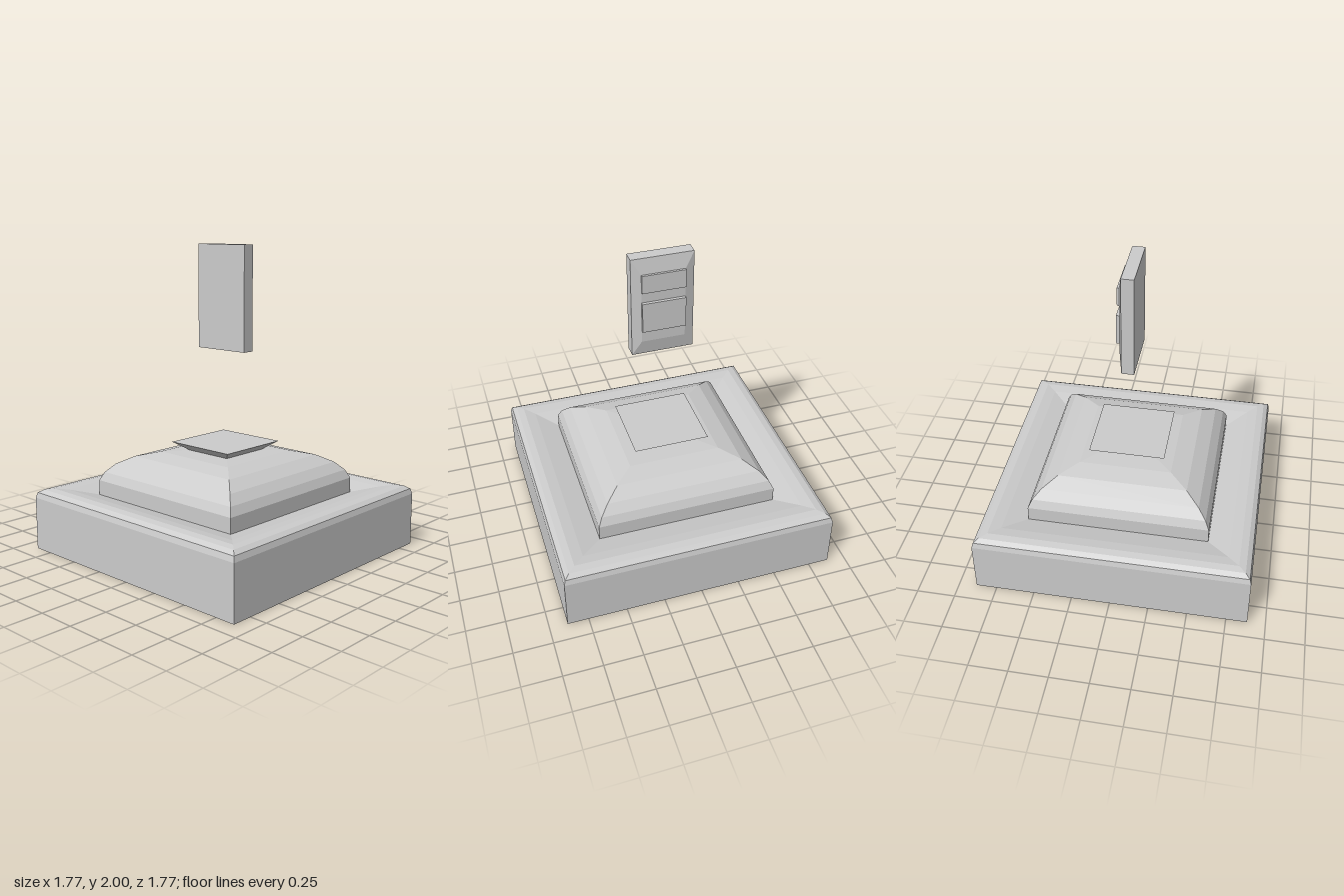
import * as THREE from 'three';

const material = new THREE.MeshStandardMaterial({ color: 0xcccccc, flatShading: true });

// Square solid: each profile point is [half width, height], listed bottom to top
function squareLoft(profile) {
  const points = profile.map(([w, y]) => new THREE.Vector2(w * Math.SQRT2, y));
  return new THREE.LatheGeometry(points, 4, Math.PI / 4);
}

function addMesh(group, name, geometry) {
  const mesh = new THREE.Mesh(geometry, material);
  mesh.name = name;
  group.add(mesh);
  return mesh;
}

export function createModel() {
  const model = new THREE.Group();
  model.name = 'pedestalWithFloatingPanel';

  // Square base: hollowed underside, rounded rim, top sloping down to the dome
  addMesh(model, 'base', squareLoft([
    [0, 0.05], [0.6, 0.05], [0.885, 0], [0.885, 0.35], [0.875, 0.385],
    [0.845, 0.405], [0.8, 0.412], [0.73, 0.402], [0.57, 0.362], [0, 0.362],
  ]));

  // Domed square step
  addMesh(model, 'dome', squareLoft([
    [0.588, 0.355], [0.588, 0.465], [0.562, 0.52], [0.51, 0.575],
    [0.42, 0.626], [0.3, 0.656], [0.17, 0.664], [0, 0.664],
  ]));

  // Flared plate on top of the dome
  addMesh(model, 'topPlate', squareLoft([
    [0.155, 0.655], [0.247, 0.72], [0, 0.72],
  ]));

  // Floating panel with a bevelled face towards +x
  const panel = new THREE.Group();
  panel.name = 'panel';
  panel.position.y = 1.665;
  model.add(panel);
  const slab = squareLoft([
    [0, -0.042], [1, -0.042], [1, 0.038], [0.7, 0.058], [0, 0.058],
  ]);
  slab.scale(0.335, 1, 0.198).rotateZ(-Math.PI / 2);
  addMesh(panel, 'panelSlab', slab);

  // Raised blocks on the panel face: name, bottom, top, front
  for (const [name, y0, y1, x1] of [
    ['upperBlock', 1.78, 1.9, 0.073],
    ['lowerBlock', 1.51, 1.71, 0.079],
  ]) {
    const block = addMesh(panel, name, new THREE.BoxGeometry(x1 - 0.03, y1 - y0, 0.276));
    block.position.set((x1 + 0.03) / 2, (y0 + y1) / 2 - 1.665, 0);
  }

  return model;
}
